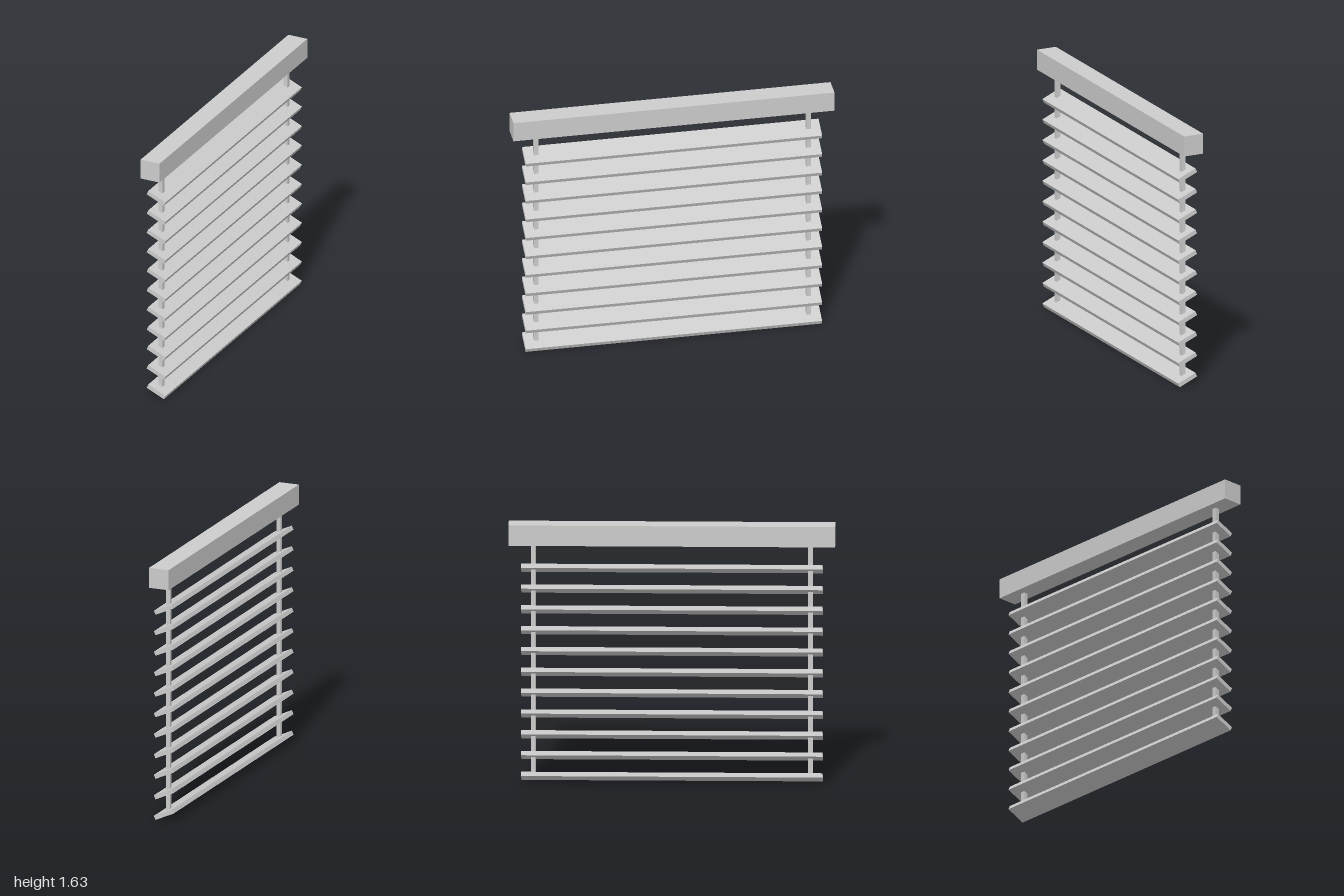
import * as THREE from 'three';

export function createModel() {
  const group = new THREE.Group();
  const material = new THREE.MeshStandardMaterial({ color: 0xcccccc, flatShading: true });

  const addBox = (name, size, position, tilt = 0) => {
    const mesh = new THREE.Mesh(new THREE.BoxGeometry(...size), material);
    mesh.name = name;
    mesh.position.set(...position);
    mesh.rotation.z = tilt;
    group.add(mesh);
  };

  // Head rail along the top
  addBox('headRail', [0.13, 0.128, 2], [-0.002, 1.566, 0]);

  // Two cords, ending inside the lowest slat
  const cordBottom = 0.04, cordTop = 1.51;
  for (const side of [1, -1]) {
    addBox(side > 0 ? 'frontCord' : 'backCord',
      [0.027, cordTop - cordBottom, 0.028],
      [-0.002, (cordTop + cordBottom) / 2, side * 0.848]);
  }

  // Evenly spaced slats, all tilted down towards +x
  const tilt = THREE.MathUtils.degToRad(-24);
  for (let i = 0; i < 11; i++) {
    addBox(`slat${i + 1}`, [0.13, 0.027, 1.846], [0, 0.039 + i * 0.131, 0], tilt);
  }

  return group;
}
